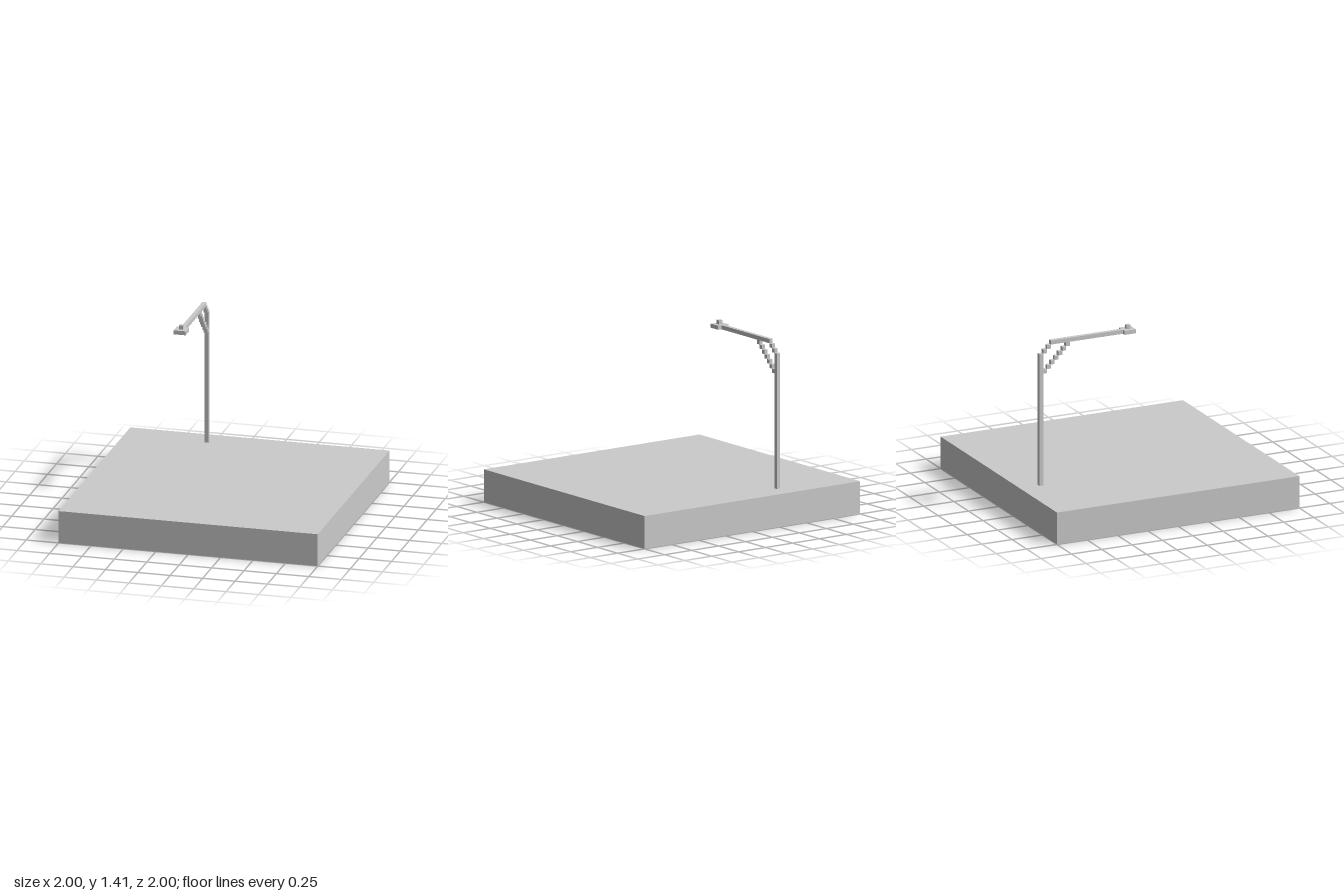
import * as THREE from 'three';

const U = 1 / 32; // size of one block
const material = new THREE.MeshStandardMaterial({ color: 0xcccccc, flatShading: true });

// Box between two corners given in whole blocks
function blocks(name, [x0, y0, z0], [x1, y1, z1]) {
  const geometry = new THREE.BoxGeometry((x1 - x0) * U, (y1 - y0) * U, (z1 - z0) * U);
  const mesh = new THREE.Mesh(geometry, material);
  mesh.name = name;
  mesh.position.set((x0 + x1) / 2 * U, (y0 + y1) / 2 * U, (z0 + z1) / 2 * U);
  return mesh;
}

// Diagonal run of single blocks, each one up and one forward
function staircase(name, x, y, z, count) {
  const group = new THREE.Group();
  group.name = name;
  for (let i = 0; i < count; i++) {
    group.add(blocks(name + 'Block', [x, y + i, z + i], [x + 1, y + i + 1, z + i + 1]));
  }
  return group;
}

export function createModel() {
  const model = new THREE.Group();
  model.name = 'streetLamp';

  // Ground slab
  model.add(blocks('groundSlab', [-32, 0, -32], [32, 8, 32]));

  // Post and horizontal arm
  model.add(blocks('post', [-12, 8, -27], [-11, 41, -26]));
  model.add(blocks('arm', [-12, 43, -24], [-11, 44, -5]));

  // Stepped bend at the top of the post and the longer brace below it
  model.add(staircase('bend', -12, 41, -26, 2));
  model.add(staircase('brace', -12, 36, -26, 7));

  // Lamp head with a small cap
  model.add(blocks('lampHead', [-13, 43, -5], [-10, 44, -2]));
  model.add(blocks('lampCap', [-12, 44, -4], [-11, 45, -3]));

  return model;
}
